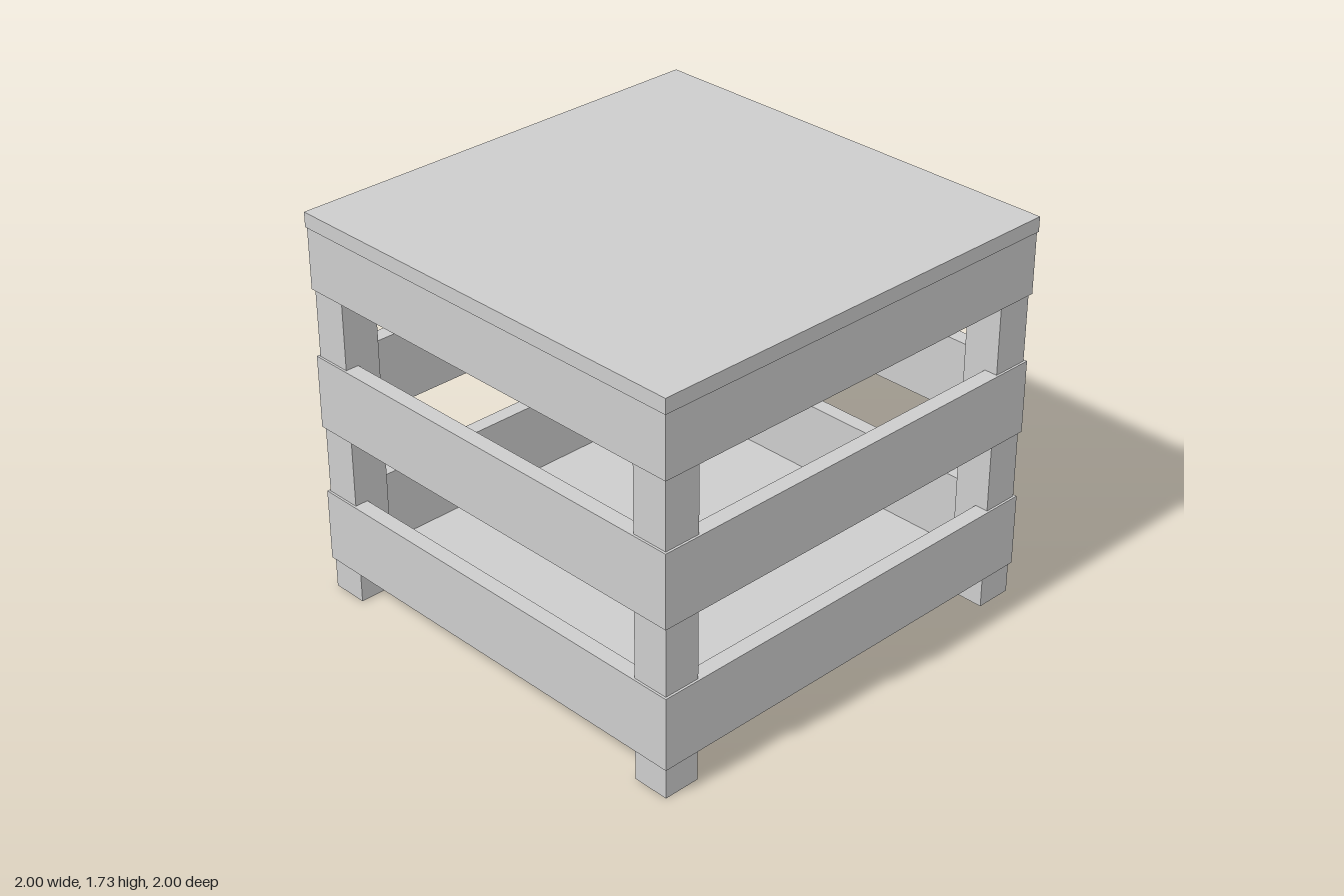
import * as THREE from 'three';

export function createModel() {
  const group = new THREE.Group();
  const grey = new THREE.MeshStandardMaterial({ color: 0xcccccc });
  grey.name = 'lightGrey';

  // Box given by its extents; y0 and y1 are bottom and top
  const addBox = (name, w, d, y0, y1, x = 0, z = 0) => {
    const mesh = new THREE.Mesh(new THREE.BoxGeometry(w, y1 - y0, d), grey);
    mesh.name = name;
    mesh.position.set(x, (y0 + y1) / 2, z);
    group.add(mesh);
  };

  const slat = 0.07;          // slat thickness
  const outer = 0.995;        // outer face of the slats
  const slatMid = outer - slat / 2;
  const inner = outer - slat;

  // Lid and floor panels
  addBox('topPanel', 2, 2, 1.665, 1.73);
  addBox('floorPanel', inner * 2, inner * 2, 0.07, 0.14);

  // Four corner posts, set slightly behind the slat faces
  for (const sx of [-1, 1])
    for (const sz of [-1, 1])
      addBox('cornerPost', 0.165, 0.165, 0, 1.665, sx * 0.9025, sz * 0.9025);

  // Three tiers of slats: front and back run full width, sides fit between them
  for (const [y0, y1] of [[0.14, 0.465], [0.77, 1.095], [1.395, 1.665]])
    for (const s of [-1, 1]) {
      addBox(s > 0 ? 'frontSlat' : 'backSlat', outer * 2, slat, y0, y1, 0, s * slatMid);
      addBox(s > 0 ? 'leftSlat' : 'rightSlat', slat, inner * 2, y0, y1, s * slatMid, 0);
    }

  return group;
}
